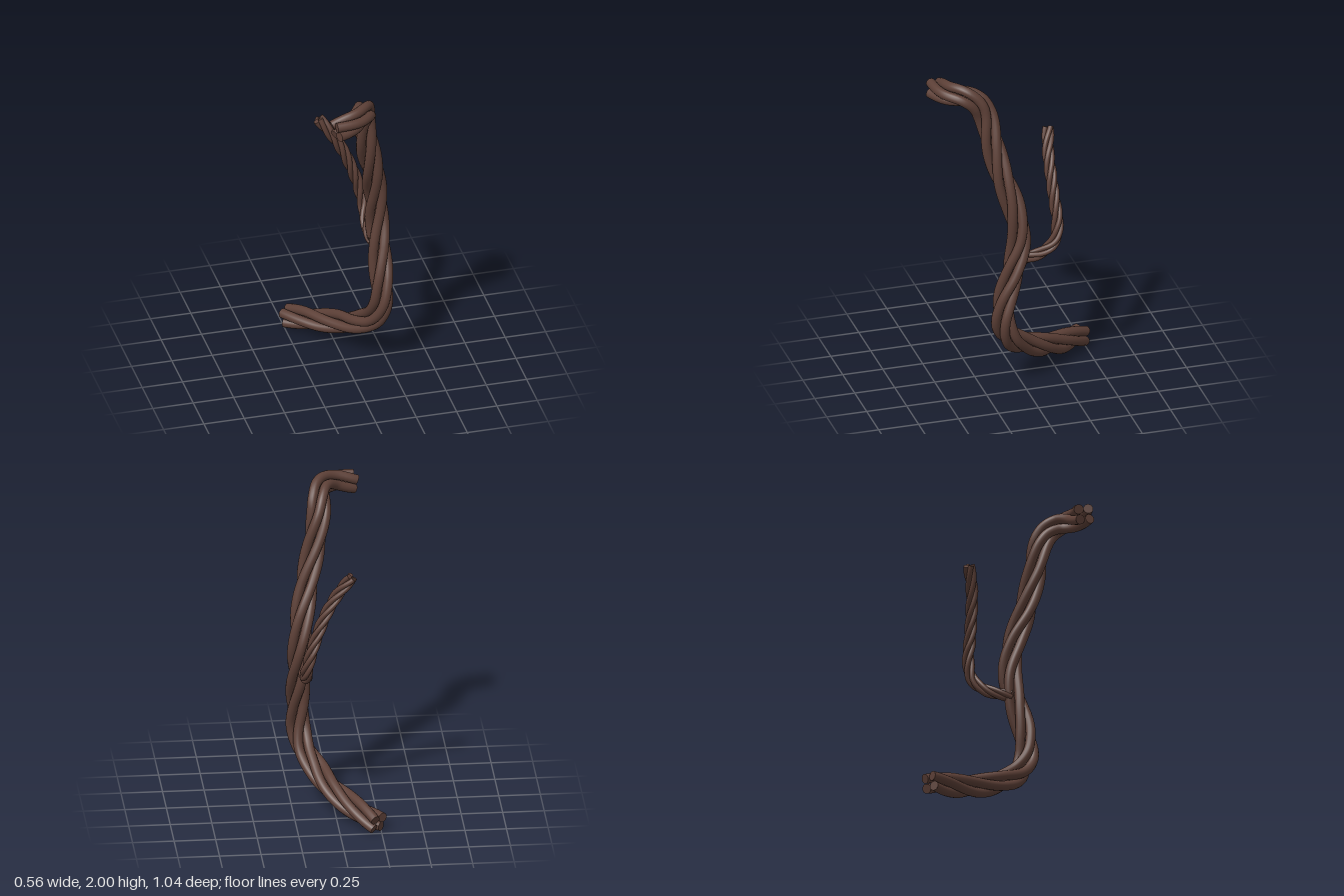
import * as THREE from 'three';

const bark = new THREE.MeshStandardMaterial({ color: 0x5d4037 });

// Flat disc closing one end of a strand
function endCap(position, outward, radius, name) {
  const cap = new THREE.Mesh(new THREE.CircleGeometry(radius, 14), bark);
  cap.position.copy(position);
  cap.quaternion.setFromUnitVectors(new THREE.Vector3(0, 0, 1), outward);
  cap.name = name;
  return cap;
}

// Four round strands twisted around a guiding path
function twistedVine(name, path, { radius, offset, turns, phase, steps }) {
  const group = new THREE.Group();
  group.name = name;
  const guide = new THREE.CatmullRomCurve3(path.map((p) => new THREE.Vector3(...p)));
  guide.arcLengthDivisions = 400;
  const { normals, binormals } = guide.computeFrenetFrames(steps);
  for (let s = 0; s < 4; s++) {
    const points = [];
    for (let i = 0; i <= steps; i++) {
      const angle = phase + (s * Math.PI) / 2 + (turns * Math.PI * 2 * i) / steps;
      points.push(guide.getPointAt(i / steps)
        .addScaledVector(normals[i], Math.cos(angle) * offset)
        .addScaledVector(binormals[i], Math.sin(angle) * offset));
    }
    const curve = new THREE.CatmullRomCurve3(points);
    const strand = new THREE.Mesh(new THREE.TubeGeometry(curve, steps * 2, radius, 14), bark);
    strand.name = `${name}Strand${s + 1}`;
    group.add(
      strand,
      endCap(points[0], curve.getTangentAt(0).negate(), radius, `${name}StartCap${s + 1}`),
      endCap(points[steps], curve.getTangentAt(1), radius, `${name}EndCap${s + 1}`),
    );
  }
  return group;
}

export function createModel() {
  const model = new THREE.Group();
  model.name = 'twistedVine';

  // Main stem: rises from the low back end and hooks forward at the top
  model.add(twistedVine('mainStem', [
    [-0.23, 0.065, -0.485], [-0.13, 0.1, -0.37], [-0.05, 0.13, -0.27], [0.03, 0.175, -0.16],
    [0.1, 0.24, -0.03], [0.165, 0.33, 0.08], [0.195, 0.45, 0.13], [0.2, 0.6, 0.122],
    [0.2, 0.8, 0.07], [0.195, 1.0, 0.032], [0.178, 1.2, 0.058], [0.142, 1.4, 0.12],
    [0.1, 1.6, 0.167], [0.065, 1.8, 0.205], [0.058, 1.88, 0.25], [0.04, 1.927, 0.325],
    [-0.03, 1.925, 0.405], [-0.17, 1.9, 0.45],
  ], { radius: 0.03, offset: 0.044, turns: 2.4, phase: Math.PI / 4, steps: 90 }));

  // Thin side branch leaving the back of the stem
  model.add(twistedVine('sideBranch', [
    [0.17, 0.84, 0.04], [0.165, 0.848, -0.03], [0.17, 0.875, -0.12], [0.175, 0.94, -0.195],
    [0.155, 1.05, -0.222], [0.115, 1.18, -0.215], [0.06, 1.32, -0.21], [-0.01, 1.45, -0.213],
    [-0.095, 1.57, -0.237],
  ], { radius: 0.016, offset: 0.022, turns: 2.2, phase: Math.PI / 4, steps: 60 }));

  return model;
}
